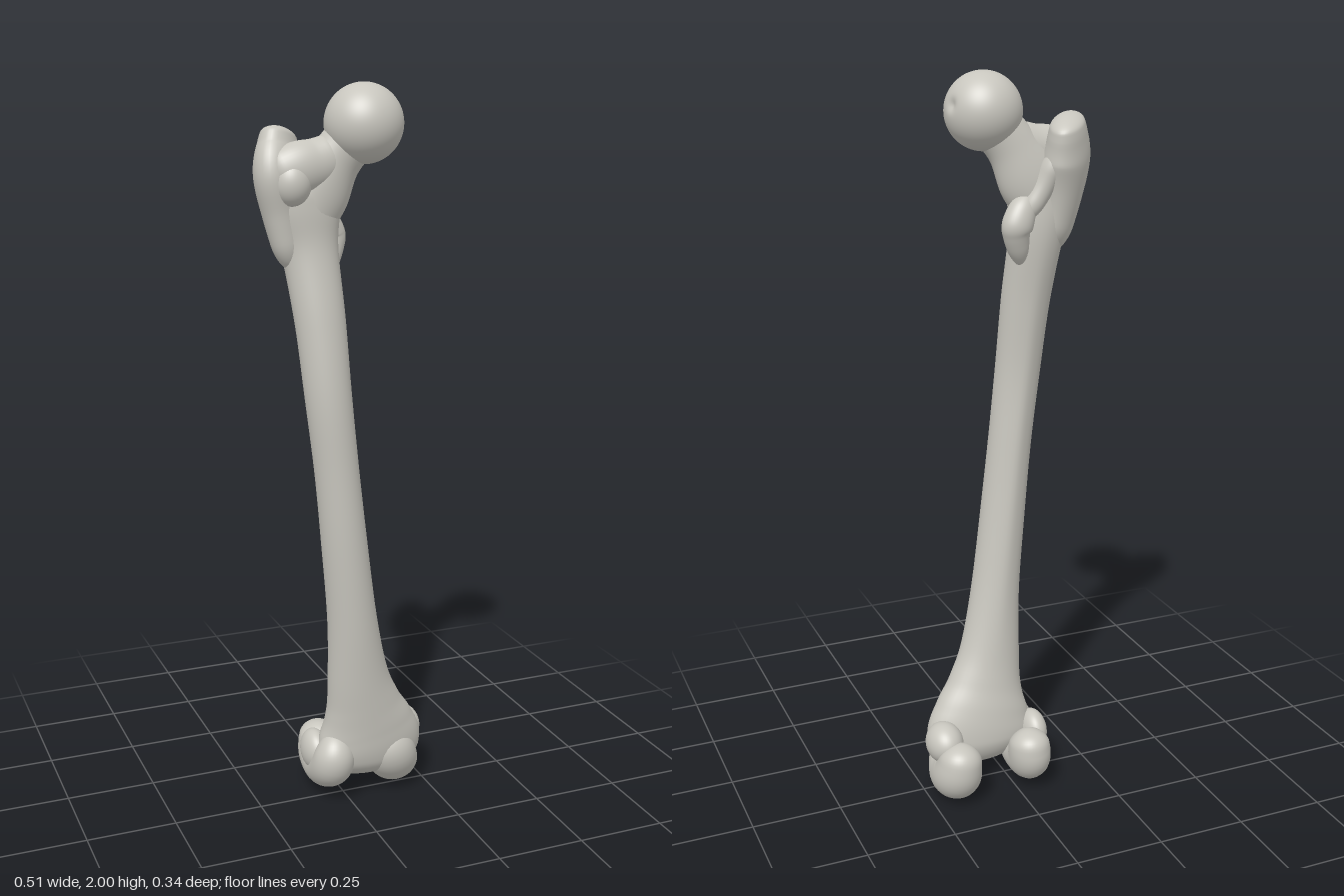
import * as THREE from 'three';
import { mergeVertices } from 'three/addons/utils/BufferGeometryUtils.js';

const bone = new THREE.MeshStandardMaterial({ color: 0xc8c6be });
bone.name = 'bone';

// Smooth loft with rounded ends. Each station is [x, y, z, radius along side, radius across].
// relief(angle, t) optionally scales the section's radius.
function loft(stations, side, cap = 0.6, steps = 48, relief = () => 1) {
  const curve = (pick) => new THREE.CatmullRomCurve3(stations.map(pick), false, 'catmullrom', 0.5);
  const path = curve((s) => new THREE.Vector3(s[0], s[1], s[2]));
  const size = curve((s) => new THREE.Vector3(s[3], s[4], 0));
  const sides = 40, last = stations.length - 1;
  const positions = [], index = [];
  for (let i = 0; i <= steps; i++) {
    const t = (1 - Math.cos((Math.PI * i) / steps)) / 2;
    const p = path.getPoint(t), r = size.getPoint(t), T = path.getTangent(t);
    const V = T.clone().cross(side).normalize();
    const U = V.clone().cross(T).normalize();
    const k = Math.min(1, (Math.min(t, 1 - t) * last) / cap);
    const round = Math.sqrt(Math.max(0, 1 - (1 - k) ** 2));
    for (let j = 0; j < sides; j++) {
      const a = (j / sides) * Math.PI * 2;
      const m = round * relief(a, t);
      const q = p.clone()
        .addScaledVector(U, Math.cos(a) * r.x * m)
        .addScaledVector(V, Math.sin(a) * r.y * m);
      positions.push(q.x, q.y, q.z);
      if (i < steps) {
        const n = (j + 1) % sides, A = i * sides, B = A + sides;
        index.push(A + j, A + n, B + n, A + j, B + n, B + j);
      }
    }
  }
  const g = new THREE.BufferGeometry();
  g.setAttribute('position', new THREE.Float32BufferAttribute(positions, 3));
  g.setIndex(index);
  g.computeVertexNormals();
  return g;
}

// Ball with a shallow pit pressed in around one direction
function pittedBall(radius, dir, depth, spread) {
  let g = new THREE.IcosahedronGeometry(radius, 20);
  g.deleteAttribute('normal');
  g.deleteAttribute('uv');
  g = mergeVertices(g, 1e-5);
  const pos = g.attributes.position, v = new THREE.Vector3();
  for (let i = 0; i < pos.count; i++) {
    v.fromBufferAttribute(pos, i);
    const angle = v.angleTo(dir);
    v.multiplyScalar(1 - depth * Math.exp(-((angle / spread) ** 2)));
    pos.setXYZ(i, v.x, v.y, v.z);
  }
  g.computeVertexNormals();
  return g;
}

export function createModel() {
  const group = new THREE.Group();
  group.name = 'thighBone';
  const X = new THREE.Vector3(1, 0, 0), Z = new THREE.Vector3(0, 0, 1);

  const add = (name, geometry, at = [0, 0, 0], scale = [1, 1, 1]) => {
    const m = new THREE.Mesh(geometry, bone);
    m.name = name;
    m.position.set(...at);
    m.scale.set(...scale);
    group.add(m);
  };

  // Bowed shaft, flaring at both ends, with a low ridge down the back
  const ridge = (a, t) => {
    const along = Math.max(0, Math.sin(Math.PI * Math.min(1, Math.max(0, (t - 0.3) / 0.6))));
    return 1 + 0.07 * along * Math.exp(-(((a - Math.PI / 2) / 0.3) ** 2));
  };
  add('shaft', loft([
    [0.07, 0.06, 0.0, 0.14, 0.06],
    [0.07, 0.15, 0.015, 0.16, 0.075],
    [0.06, 0.22, 0.025, 0.14, 0.075],
    [0.045, 0.29, 0.037, 0.11, 0.07],
    [0.024, 0.39, 0.05, 0.087, 0.066],
    [0.0, 0.57, 0.066, 0.069, 0.064],
    [-0.028, 0.8, 0.077, 0.0625, 0.0625],
    [-0.05, 1.0, 0.08, 0.06, 0.06],
    [-0.0725, 1.2, 0.079, 0.0625, 0.06],
    [-0.0875, 1.4, 0.06, 0.0675, 0.06],
    [-0.105, 1.58, 0.033, 0.076, 0.06],
    [-0.118, 1.69, 0.033, 0.096, 0.06],
    [-0.13, 1.79, 0.03, 0.1, 0.06],
  ], X, 0.8, 110, ridge));

  // Ball joint, its neck, and the bridge from neck to outer knob
  add('head', pittedBall(0.102, new THREE.Vector3(0.95, 0.2, -0.22), 0.09, 0.16), [0.03, 1.898, 0.067]);
  add('neck', loft([
    [-0.14, 1.62, 0.03, 0.055, 0.07],
    [-0.09, 1.72, 0.035, 0.06, 0.088],
    [-0.042, 1.805, 0.045, 0.057, 0.07],
    [0.0, 1.86, 0.057, 0.062, 0.067],
    [0.028, 1.895, 0.067, 0.07, 0.07],
  ], Z));
  add('neckBridge', loft([
    [-0.22, 1.76, 0.05, 0.045, 0.06],
    [-0.15, 1.785, 0.055, 0.055, 0.07],
    [-0.09, 1.8, 0.052, 0.052, 0.065],
    [-0.02, 1.83, 0.05, 0.045, 0.055],
  ], Z));

  // Outer knob with a crest slanting to the back
  add('outerKnob', loft([
    [-0.15, 1.53, 0.03, 0.045, 0.035],
    [-0.172, 1.67, 0.018, 0.07, 0.05],
    [-0.18, 1.77, 0.01, 0.094, 0.06],
    [-0.173, 1.84, -0.01, 0.08, 0.05],
    [-0.165, 1.887, -0.022, 0.066, 0.038],
  ], new THREE.Vector3(0.6, 0, -0.8), 0.5));
  const ball = new THREE.SphereGeometry(1, 40, 28);
  add('frontBump', ball, [-0.165, 1.755, 0.07], [0.05, 0.06, 0.048]);

  // Small inner knob and the crest joining it to the outer knob
  add('innerKnob', loft([
    [-0.07, 1.69, 0.005, 0.03, 0.03],
    [-0.036, 1.62, -0.01, 0.042, 0.036],
    [-0.032, 1.585, -0.006, 0.036, 0.032],
    [-0.055, 1.5, 0.015, 0.022, 0.022],
  ], X));
  add('backCrest', loft([
    [-0.14, 1.8, -0.035, 0.03, 0.035],
    [-0.105, 1.71, -0.012, 0.03, 0.032],
    [-0.05, 1.62, -0.005, 0.028, 0.03],
  ], X));

  // Rolling knee surfaces, curling from front to back
  add('leftCondyle', loft([
    [0.12, 0.215, 0.035, 0.055, 0.05],
    [0.135, 0.125, 0.04, 0.07, 0.058],
    [0.165, 0.07, -0.02, 0.072, 0.064],
    [0.18, 0.085, -0.085, 0.07, 0.07],
    [0.178, 0.13, -0.105, 0.062, 0.063],
    [0.17, 0.185, -0.1, 0.052, 0.05],
  ], X, 0.8));
  add('rightCondyle', loft([
    [-0.04, 0.215, 0.04, 0.048, 0.05],
    [-0.047, 0.13, 0.045, 0.06, 0.06],
    [-0.045, 0.085, -0.02, 0.06, 0.06],
    [-0.04, 0.095, -0.085, 0.06, 0.068],
    [-0.036, 0.135, -0.1, 0.058, 0.063],
    [-0.035, 0.185, -0.095, 0.048, 0.05],
  ], X, 0.8));

  // Side bumps above the knee surfaces
  add('leftSideBump', ball, [0.2, 0.165, -0.04], [0.052, 0.058, 0.065]);
  add('rightSideBump', ball, [-0.078, 0.14, -0.025], [0.038, 0.06, 0.06]);

  return group;
}
